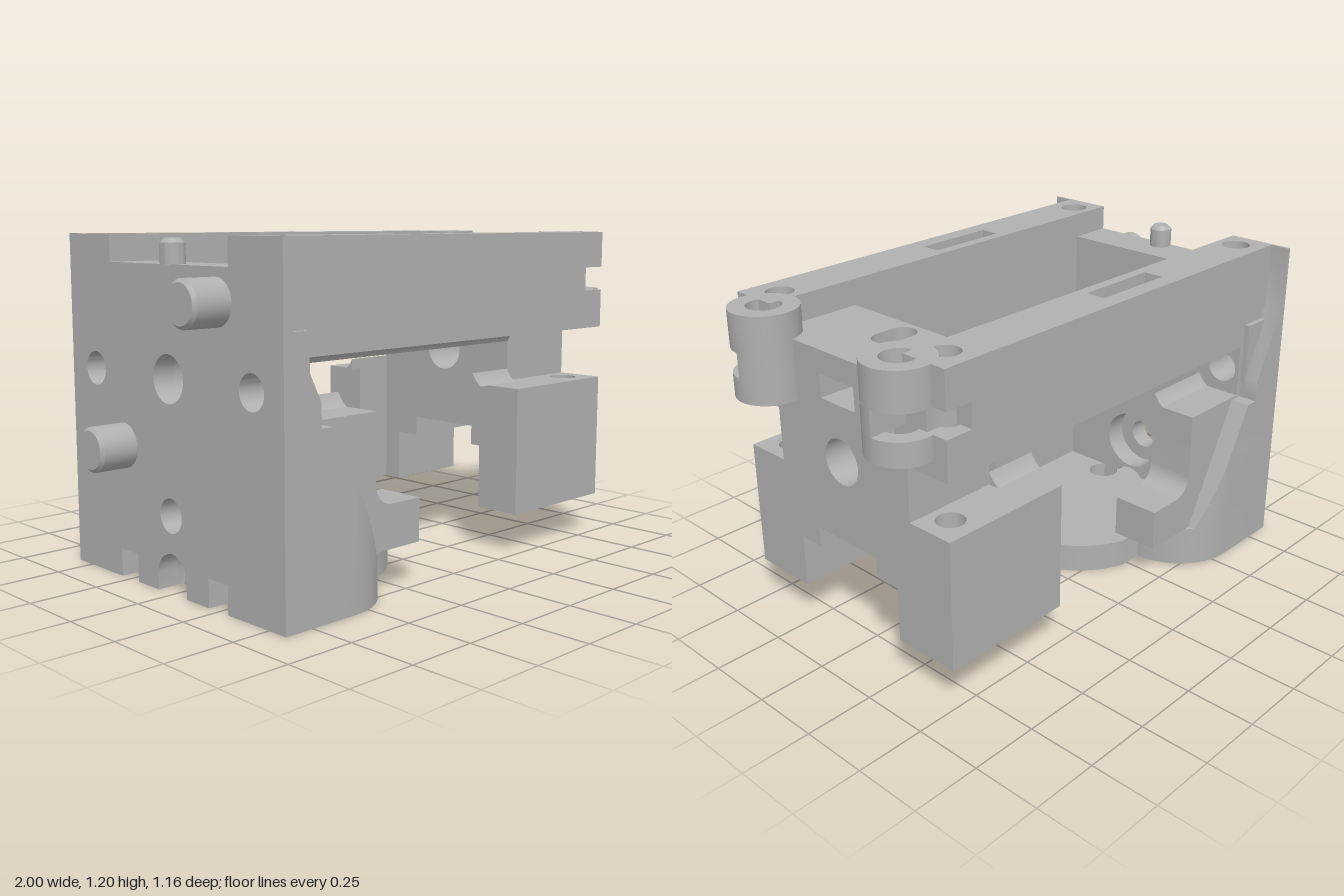
import * as THREE from 'three';
import { toCreasedNormals } from 'three/addons/utils/BufferGeometryUtils.js';

const grey = new THREE.MeshStandardMaterial({ color: 0xb0b0b0, side: THREE.DoubleSide });
grey.name = 'plain grey';

// points on an arc, angles in turns
function arc(cx, cy, r, a0 = 0, a1 = 1, n = 36) {
  const pts = [];
  for (let i = 0; i <= n; i++) {
    const a = (a0 + (a1 - a0) * i / n) * Math.PI * 2;
    pts.push([cx + r * Math.cos(a), cy + r * Math.sin(a)]);
  }
  return pts;
}
const rect = (x0, y0, x1, y1) => [[x0, y0], [x1, y0], [x1, y1], [x0, y1]];

function solid(pts, holes, depth, su, sv) {
  const vec = list => list.map(p => new THREE.Vector2(p[0] * su, p[1] * sv));
  const shape = new THREE.Shape(vec(pts));
  for (const h of holes) shape.holes.push(new THREE.Path(vec(h)));
  return new THREE.ExtrudeGeometry(shape, { depth, bevelEnabled: false });
}
function add(parent, name, geo) {
  const mesh = new THREE.Mesh(toCreasedNormals(geo, 0.5), grey);
  mesh.name = name;
  parent.add(mesh);
  return mesh;
}
// outlines: X takes [z, y], Y takes [x, z], Z takes [x, y]
const alongX = (g, name, pts, x0, x1, holes = []) =>
  add(g, name, solid(pts, holes, x1 - x0, -1, 1).rotateY(Math.PI / 2).translate(x0, 0, 0));
const alongY = (g, name, pts, y0, y1, holes = []) =>
  add(g, name, solid(pts, holes, y1 - y0, 1, -1).rotateX(-Math.PI / 2).translate(0, y0, 0));
const alongZ = (g, name, pts, z0, z1, holes = []) =>
  add(g, name, solid(pts, holes, z1 - z0, 1, 1).translate(0, 0, z0));

// lip beside the rod channel; s = 1 above the rod, -1 below
function lip(s) {
  const pts = [[0.325, 0.73 + s * 0.1]];
  for (let i = 0; i <= 6; i++) {
    const z = 0.325 + 0.042 * i / 6;
    pts.push([z, 0.73 + s * Math.sqrt(0.118 ** 2 - (z - 0.43) ** 2)]);
  }
  return pts;
}

// rounded foot whose inner side is sliced by a sloping plane
function footGeometry() {
  const levels = [[0, -0.321], [0.155, -0.321]];
  for (let i = 0; i <= 8; i++) levels.push([0.155 + 0.465 * i / 8, -0.42 - 0.24 * i / 8]);
  const rings = levels.map(([y, end]) => {
    const ring = [[-0.86, y, 0.33], [-0.86, y, 0.58]];
    let z = 0.58;
    for (let i = 0; i <= 12; i++) {
      const x = end > -0.57 ? -0.57 + (end + 0.57) * Math.sin(i / 12 * Math.PI / 2) : end;
      z = 0.33 + Math.sqrt(0.0625 - Math.max(0, x + 0.57) ** 2);
      ring.push([x, y, z]);
    }
    ring.push([end, y, 0.33]);
    return ring;
  });
  const v = [];
  const tri = (...p) => p.forEach(q => v.push(...q));
  const n = rings[0].length;
  for (let k = 0; k < rings.length - 1; k++) {
    for (let i = 0; i < n; i++) {
      const j = (i + 1) % n, a = rings[k], b = rings[k + 1];
      tri(a[i], a[j], b[j]);
      tri(a[i], b[j], b[i]);
    }
  }
  const bottom = rings[0], top = rings[rings.length - 1];
  for (let i = 1; i < n - 1; i++) {
    tri(top[0], top[i], top[i + 1]);
    tri(bottom[0], bottom[i + 1], bottom[i]);
  }
  const geo = new THREE.BufferGeometry();
  geo.setAttribute('position', new THREE.Float32BufferAttribute(v, 3));
  geo.computeVertexNormals();
  return geo;
}

// everything that sits on one side of the frame
function buildSide() {
  const g = new THREE.Group();

  // rail, stacked in layers for the pocket and the clamp slot
  const holes = [arc(-0.76, 0.405, 0.052), arc(0.755, 0.405, 0.05)];
  const plan = [[-0.86, 0.325], [0.855, 0.325], [0.855, 0.505], [-0.86, 0.505]];
  const slotted = [[-0.86, 0.325], [0.855, 0.325], [0.855, 0.42], [0.81, 0.42], [0.75, 0.44],
    [0.75, 0.505], [-0.86, 0.505]];
  alongY(g, 'railLower', plan, 0.83, 0.975, holes);
  alongY(g, 'railMiddle', slotted, 0.975, 1.065, [holes[0]]);
  alongY(g, 'railUpper', plan, 1.065, 1.2, [...holes, rect(-0.25, 0.365, 0.065, 0.44)]);
  alongX(g, 'railLip', lip(1), -0.71, 0.5);

  // clamp post with a slot on its outer half
  const bore = arc(0.875, 0.33, 0.06);
  alongY(g, 'postLower', arc(0.875, 0.33, 0.12), 0.89, 0.975, [bore]);
  alongY(g, 'postMiddle', arc(0.875, 0.33, 0.12, 0.5, 1), 0.975, 1.065);
  alongY(g, 'postUpper', arc(0.875, 0.33, 0.12), 1.065, 1.2, [bore]);

  // leg under the right end
  alongY(g, 'leg', [[0.34, 0.325], [0.5, 0.325], [0.5, 0.25], [0.855, 0.25], [0.855, 0.505], [0.34, 0.505]],
    0.155, 0.63, [arc(0.755, 0.405, 0.05)]);
  alongX(g, 'legLip', lip(-1), 0.295, 0.5);

  // arm that carries the rod on the left end
  alongZ(g, 'arm', [[-0.71, 0.1], [-0.42, 0.1], [-0.42, 0.155], [-0.19, 0.155], [-0.19, 0.31],
    ...arc(-0.325, 0.385, 0.075, 0.75, 0.5, 8), [-0.4, 0.63], [-0.71, 0.63]], 0.325, 0.505);
  alongX(g, 'armLip', lip(-1), -0.71, -0.4);

  // foot, corner fin and boss
  add(g, 'foot', footGeometry());
  alongZ(g, 'cornerFin', [[-0.86, 0.62], [-0.71, 0.62], [-0.71, 0.7], [-0.845, 0.97], [-0.85, 1.2], [-0.86, 1.2]],
    0.505, 0.58);
  alongZ(g, 'cornerBoss', rect(-0.86, 0.62, -0.71, 0.915), 0.5, 0.525);
  return g;
}

export function createModel() {
  const model = new THREE.Group();
  model.name = 'carriageFrame';

  const front = buildSide();
  front.name = 'frontSide';
  const back = buildSide();
  back.name = 'backSide';
  back.scale.z = -1;
  model.add(front, back);

  // left end plate with rod holes and a stepped cable opening
  const outline = [[-0.505, 0], [-0.3, 0], [-0.3, 0.1], [-0.2, 0.1], [-0.2, 0], [-0.08, 0],
    ...arc(0, 0.06, 0.08, 0.5, 0, 10), [0.08, 0], [0.2, 0], [0.2, 0.1], [0.3, 0.1], [0.3, 0],
    [0.505, 0], [0.505, 1.105], [-0.505, 1.105]];
  const plateHoles = [arc(0, 0.73, 0.083), arc(0.43, 0.73, 0.06), arc(-0.43, 0.73, 0.06)];
  alongX(model, 'endPlateOuter', outline, -0.86, -0.78, [...plateHoles, arc(0, 0.27, 0.06)]);
  alongX(model, 'endPlateInner', outline, -0.78, -0.69, [...plateHoles, arc(0, 0.27, 0.12)]);

  // round base
  alongY(model, 'base', [[-0.75, 0.34], [-0.75, -0.34], ...arc(-0.336, 0, 0.356, -0.2, 0.2, 40)], 0, 0.11,
    [arc(-0.08, 0, 0.042), arc(-0.64, 0.105, 0.06)]);

  // right end block, with a cavity opening into the slotted cap
  alongX(model, 'endBlock', [[-0.325, 0.355], [-0.15, 0.355], [-0.15, 0.43], [0.15, 0.43], [0.15, 0.355],
    [0.325, 0.355], [0.325, 1.02], [0.085, 1.02], [0.085, 0.935], [-0.085, 0.935], [-0.085, 1.02],
    [-0.325, 1.02]], 0.5, 0.855, [arc(0, 0.73, 0.083)]);
  const slot = [...arc(0.64, 0, 0.05, -0.25, 0.25, 12), ...arc(0.57, 0, 0.05, 0.25, 0.75, 12)];
  alongY(model, 'endBlockCap', rect(0.5, -0.325, 0.855, 0.325), 1.02, 1.105, [slot]);

  // turned pegs on the left end and the pin on top
  const turned = (r, len, bevel) => new THREE.LatheGeometry(
    [[0, 0], [r, 0], [r, len - bevel], [r - bevel, len], [0, len]].map(p => new THREE.Vector2(...p)), 32);
  for (const [y, z] of [[0.995, 0.262], [0.475, -0.265]]) {
    add(model, 'peg', turned(0.079, 0.15, 0.012).rotateZ(Math.PI / 2).translate(-0.85, y, z));
  }
  add(model, 'pin', turned(0.042, 0.09, 0.016).translate(-0.83, 1.1, 0));
  return model;
}
